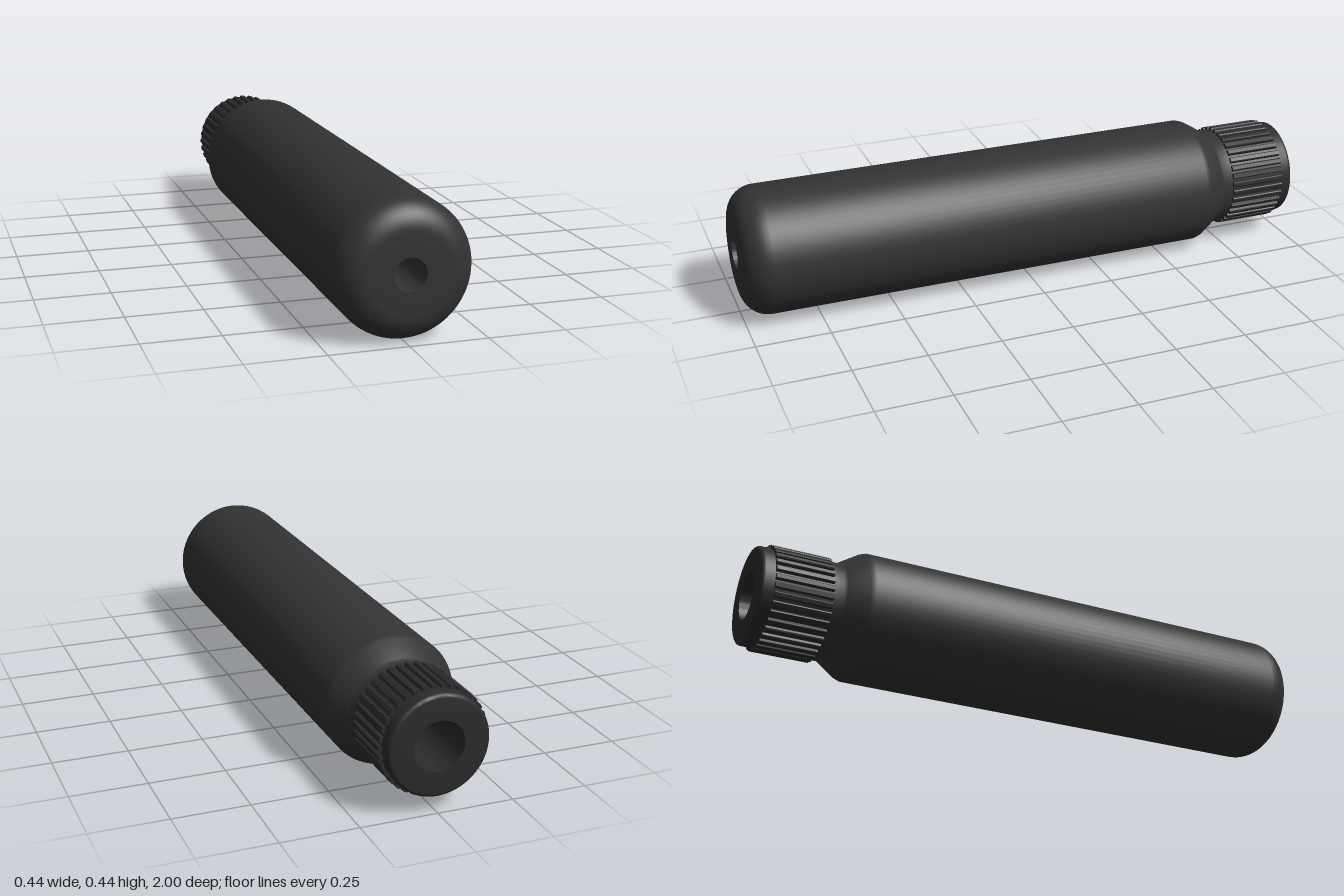
import * as THREE from 'three';
import { toCreasedNormals } from 'three/addons/utils/BufferGeometryUtils.js';

const RADIUS = 0.218;

// Turned part along z; profile points are [radius, z], running back to front on the outside
function turned(name, profile, material) {
  const points = profile.map(([r, z]) => new THREE.Vector2(r, z));
  const geometry = new THREE.LatheGeometry(points, 72).rotateX(Math.PI / 2);
  const mesh = new THREE.Mesh(toCreasedNormals(geometry, 0.62), material);
  mesh.name = name;
  return mesh;
}

// Arc of profile points around (r, z)
function arc(r, z, radius, from, to, steps) {
  return Array.from({ length: steps + 1 }, (_, i) => {
    const a = from + (to - from) * i / steps;
    return [r + radius * Math.cos(a), z + radius * Math.sin(a)];
  });
}

export function createModel() {
  const bodyBlack = new THREE.MeshStandardMaterial({ color: 0x333333 });
  bodyBlack.name = 'matte black';
  const collarBlack = new THREE.MeshStandardMaterial({ color: 0x2b2b2b });
  collarBlack.name = 'collar black';

  const model = new THREE.Group();
  model.name = 'cylinderTube';

  // Main tube: neck, tapered shoulder, rounded front and blind bore
  model.add(turned('body', [
    [0.15, -0.78], [0.166, -0.78], [0.166, -0.725], [0.172, -0.715],
    [0.212, -0.652], [RADIUS, -0.635],
    ...arc(RADIUS - 0.09, 0.91, 0.09, 0, Math.PI / 2, 10),
    [0.052, 1], [0.052, 0.6], [0, 0.6],
  ], bodyBlack));

  // Rear collar with end lip and wider bore
  model.add(turned('collar', [
    [0, -0.6], [0.082, -0.6], [0.082, -1],
    ...arc(0.153, -0.988, 0.012, -Math.PI / 2, 0, 4),
    [0.165, -0.76], [0.15, -0.76],
  ], collarBlack));

  // Grip ring: knurled outline with a hollow centre
  const teeth = 36, pitch = Math.PI * 2 / teeth;
  const outline = [];
  for (let i = 0; i < teeth; i++) {
    for (const [offset, r] of [[-0.36, 0.166], [-0.3, 0.174], [-0.2, 0.177], [0.2, 0.177], [0.3, 0.174], [0.36, 0.166]]) {
      const a = (i + offset) * pitch;
      outline.push(new THREE.Vector2(r * Math.cos(a), r * Math.sin(a)));
    }
  }
  const ring = new THREE.Shape(outline);
  ring.holes.push(new THREE.Path().absarc(0, 0, 0.15, 0, Math.PI * 2, true));
  const grip = new THREE.Mesh(
    new THREE.ExtrudeGeometry(ring, { depth: 0.195, bevelEnabled: false, curveSegments: 36 }),
    collarBlack,
  );
  grip.name = 'gripRidges';
  grip.position.z = -0.955;
  model.add(grip);

  model.children.forEach((part) => { part.position.y = RADIUS; });
  return model;
}
